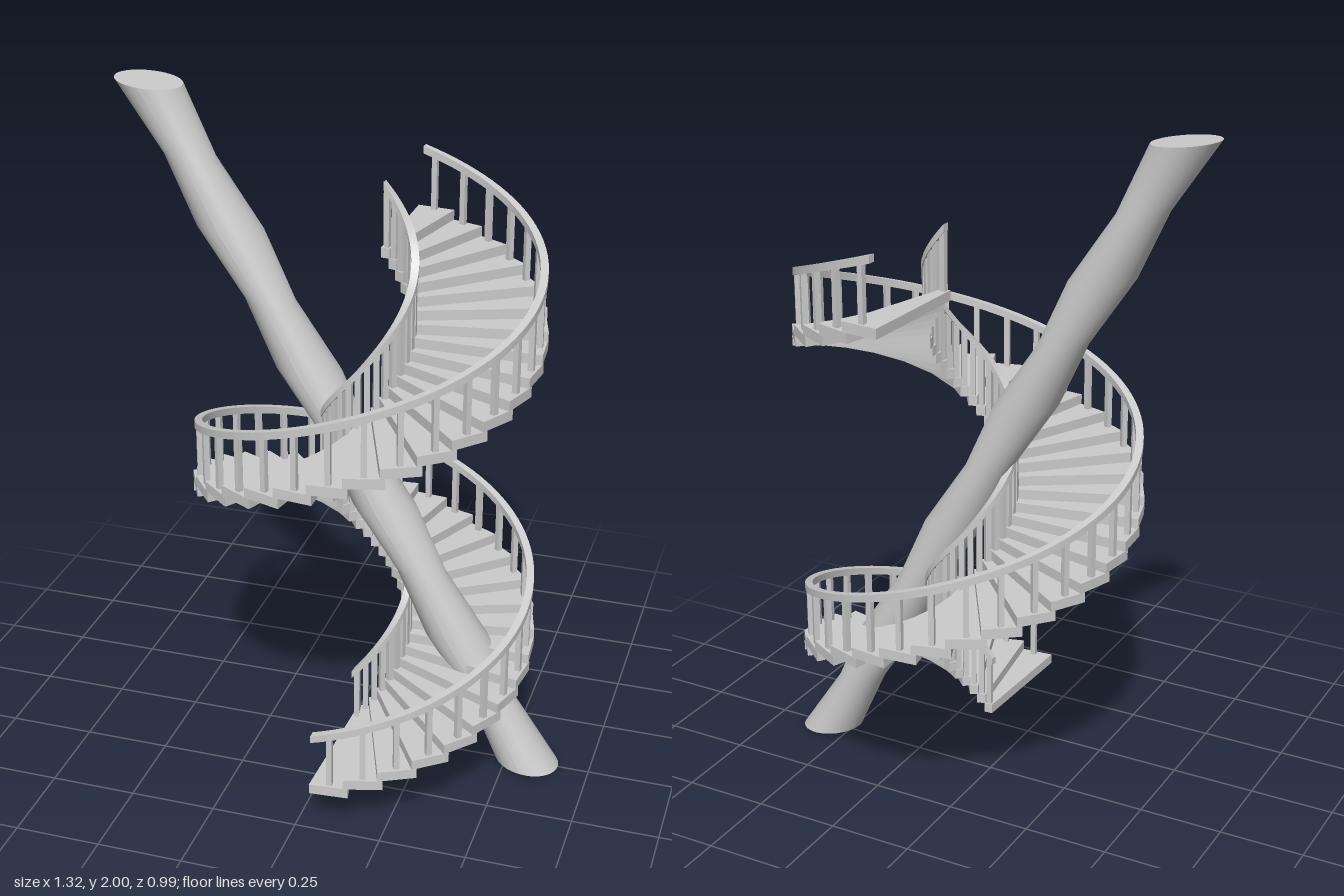
import * as THREE from 'three';

const material = new THREE.MeshStandardMaterial({ color: 0xcccccc });
const STEPS = 48, RISE = 0.0296, BASE = 0.116;
const rad = THREE.MathUtils.degToRad;
const PITCH = rad(11.25), FIRST = rad(4.25);
const RAIL_START = rad(-2), RAIL_SWEEP = rad(539);
const railY = (a) => 0.292 + ((a - RAIL_START) / RAIL_SWEEP) * 1.423;

// Bends a box round the stair axis: x (0..1) becomes the angle, z the radius
function bendBox(r0, r1, height, a0, a1, segments, lift) {
  const geo = new THREE.BoxGeometry(1, height, r1 - r0, segments, 1, 1);
  const p = geo.attributes.position;
  for (let i = 0; i < p.count; i++) {
    const a = a0 + (p.getX(i) + 0.5) * (a1 - a0);
    const r = (r0 + r1) / 2 + p.getZ(i);
    p.setXYZ(i, r * Math.sin(a), p.getY(i) + lift(a), r * Math.cos(a));
  }
  geo.computeVertexNormals();
  return geo;
}

function add(parent, geo, name) {
  const mesh = new THREE.Mesh(geo, material);
  mesh.name = name;
  parent.add(mesh);
  return mesh;
}

// Leaning pole with alternating wide and narrow rings
function poleGeometry() {
  const geo = new THREE.CylinderGeometry(1, 1, 1, 40, 10);
  const p = geo.attributes.position;
  for (let i = 0; i < p.count; i++) {
    const t = p.getY(i) + 0.5;
    const ring = Math.round(t * 10);
    const r = ring % 2 ? 0.066 : 0.086;
    const x = p.getX(i) * r * 1.1;
    p.setXYZ(i, 0.563 - 1.126 * t + x, 0.01 + 1.98 * t - 0.105 * x, p.getZ(i) * r);
  }
  geo.computeVertexNormals();
  return geo;
}

export function createModel() {
  const model = new THREE.Group();
  model.name = 'spiralStaircase';
  add(model, poleGeometry(), 'leaningPole');

  const stairs = new THREE.Group();
  stairs.name = 'stairs';
  stairs.position.x = 0.061;
  model.add(stairs);

  // Wedge treads, each overlapping the next a little
  const half = rad(6.5);
  const tread = bendBox(0.115, 0.497, RISE, -half, half, 1, () => 0);
  const post = new THREE.BoxGeometry(0.016, 1, 0.016);
  const rails = [['inner', 0.127], ['outer', 0.478]];
  for (let i = 0; i < STEPS; i++) {
    const a = FIRST + i * PITCH;
    const step = add(stairs, tread, 'tread');
    step.position.y = BASE + (i + 0.5) * RISE;
    step.rotation.y = a;

    // One baluster at each end of the tread
    const foot = BASE + (i + 1) * RISE;
    for (const [side, r] of rails) {
      const b = add(stairs, post, side + 'Baluster');
      b.scale.y = railY(a) - foot;
      b.position.set(r * Math.sin(a), (railY(a) + foot) / 2, r * Math.cos(a));
      b.rotation.y = a;
    }
  }

  // Helical handrails
  for (const [side, r] of rails) {
    add(stairs, bendBox(r - 0.011, r + 0.011, 0.022, RAIL_START,
      RAIL_START + RAIL_SWEEP, 144, railY), side + 'Handrail');
  }
  return model;
}
